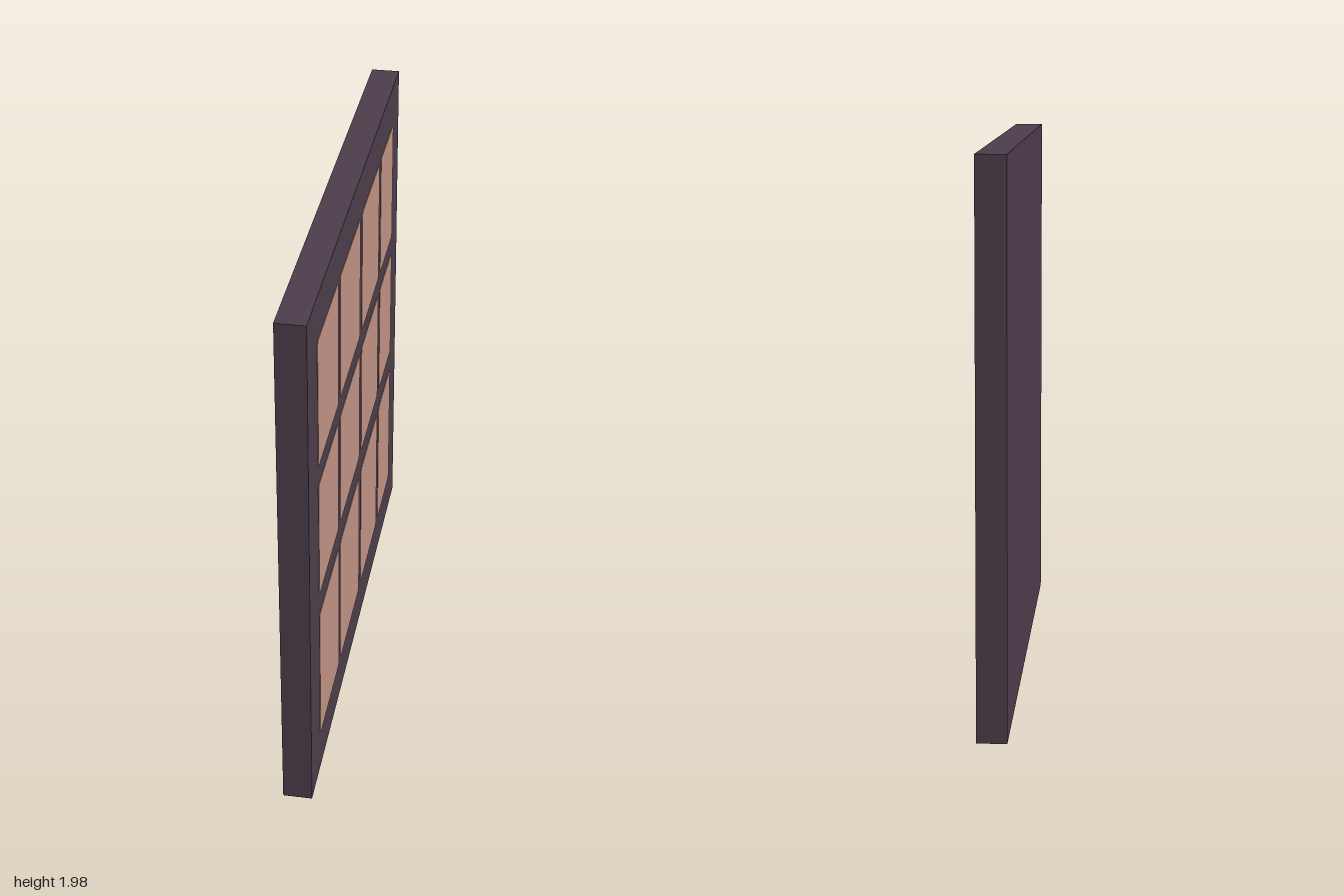
import * as THREE from 'three';

const frameMaterial = new THREE.MeshStandardMaterial({ color: 0x4b3c4a });
frameMaterial.name = 'dark plum frame';
const paneMaterial = new THREE.MeshStandardMaterial({ color: 0xbd9082 });
paneMaterial.name = 'dusty rose pane';

const HEIGHT = 1.98, HALF = 0.054, PANE_DEPTH = 0.002;

// Rectangle with small rounded corners
function roundedRect(x0, x1, y0, y1, r) {
  const s = new THREE.Shape();
  s.moveTo(x0 + r, y0);
  s.lineTo(x1 - r, y0);
  s.quadraticCurveTo(x1, y0, x1, y0 + r);
  s.lineTo(x1, y1 - r);
  s.quadraticCurveTo(x1, y1, x1 - r, y1);
  s.lineTo(x0 + r, y1);
  s.quadraticCurveTo(x0, y1, x0, y1 - r);
  s.lineTo(x0, y0 + r);
  s.quadraticCurveTo(x0, y0, x0 + r, y0);
  return s;
}

export function createModel() {
  const model = new THREE.Group();
  model.name = 'windowPanel';

  // Solid slab with a plain back
  const slab = new THREE.Mesh(
    new THREE.BoxGeometry(2 * HALF - PANE_DEPTH, HEIGHT, 2), frameMaterial);
  slab.name = 'frame';
  slab.position.set(-PANE_DEPTH / 2, HEIGHT / 2, 0);
  model.add(slab);

  // Panes on the +x face: columns run from +z to -z, rows from top to bottom
  const columns = [[-0.825, -0.427], [-0.387, 0.045], [0.09, 0.497], [0.54, 0.85]];
  const rows = [[1.333, 1.82], [0.797, 1.257], [0.16, 0.707]];
  const panes = new THREE.Group();
  panes.name = 'panes';
  for (const [y0, y1] of rows) {
    for (const [a, b] of columns) {
      const geometry = new THREE.ExtrudeGeometry(roundedRect(a, b, y0, y1, 0.02),
        { depth: PANE_DEPTH, bevelEnabled: false, curveSegments: 4 });
      geometry.rotateY(Math.PI / 2);
      const pane = new THREE.Mesh(geometry, paneMaterial);
      pane.name = 'pane';
      pane.position.x = HALF - PANE_DEPTH;
      panes.add(pane);
    }
  }
  model.add(panes);
  return model;
}
